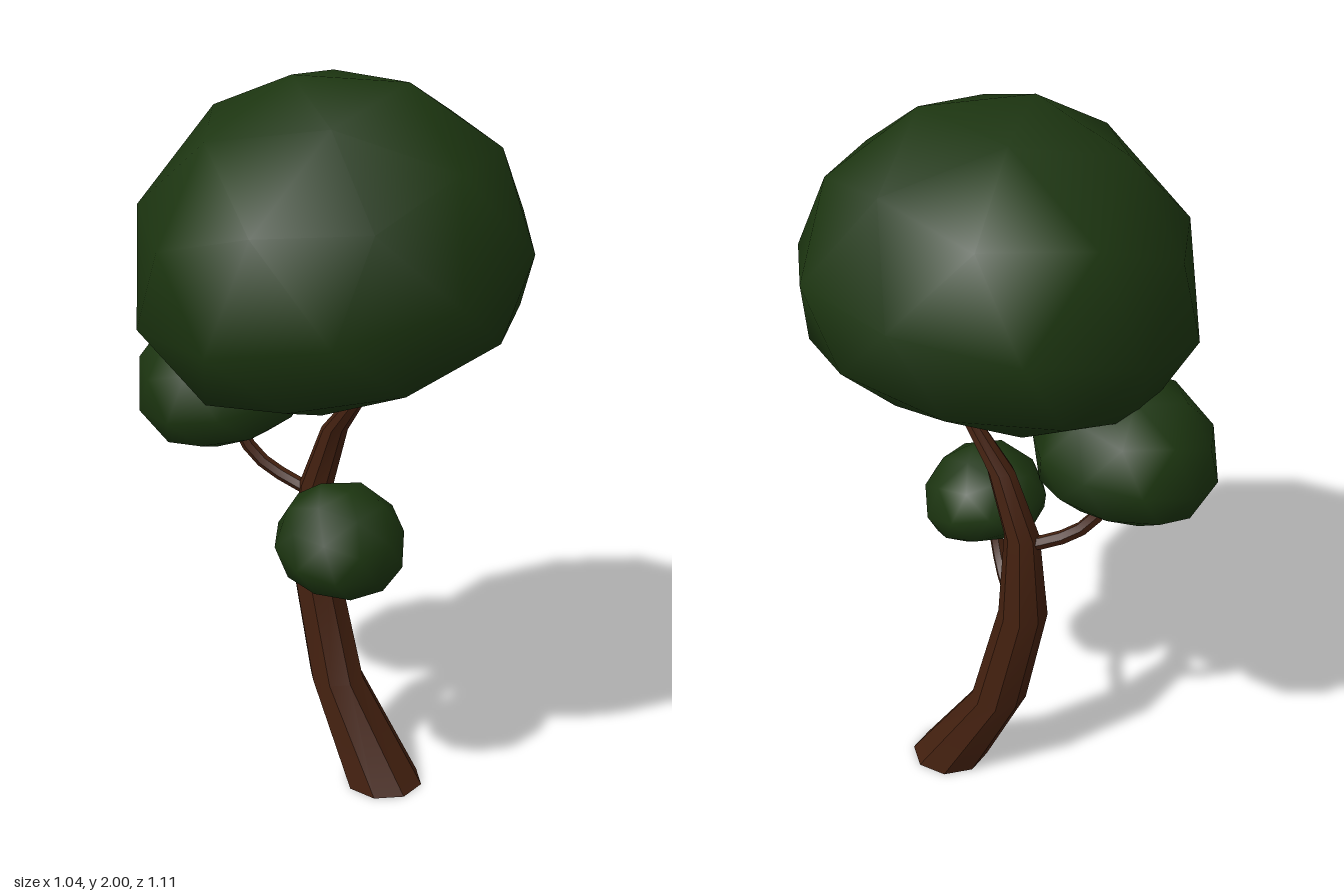
import * as THREE from 'three';
import { mergeVertices, toCreasedNormals } from 'three/addons/utils/BufferGeometryUtils.js';

const bark = new THREE.MeshStandardMaterial({ color: 0x43200f });
const leaf = new THREE.MeshStandardMaterial({ color: 0x1c3510 });

// Low-poly ball standing on a pole, with a flattened underside and smooth normals
function foliageGeometry() {
  let g = new THREE.IcosahedronGeometry(1, 1);
  g.rotateX(-Math.atan((1 + Math.sqrt(5)) / 2));
  g.rotateY(Math.PI);
  const p = g.attributes.position;
  for (let i = 0; i < p.count; i++) {
    const y = p.getY(i);
    if (y < 0) p.setY(i, 0.81 * y + 0.23 * y * y);
    else p.setY(i, 0.97 * y);
  }
  g.deleteAttribute('normal');
  g.deleteAttribute('uv');
  g = mergeVertices(g, 1e-3);
  g.computeVertexNormals();
  return g;
}

// Cylinder whose horizontal rings follow rows of [x, y, z, radius], bottom to top
function trunkGeometry(rows, sides) {
  const n = rows.length - 1;
  const g = new THREE.CylinderGeometry(1, 1, n, sides, n);
  g.rotateY(Math.PI / sides);
  const p = g.attributes.position;
  for (let i = 0; i < p.count; i++) {
    const [x, y, z, r] = rows[Math.round(p.getY(i) + n / 2)];
    p.setXYZ(i, x + p.getX(i) * r, y, z + p.getZ(i) * r);
  }
  return toCreasedNormals(g, 0.6);
}

export function createModel() {
  const tree = new THREE.Group();
  tree.name = 'tree';
  const add = (name, geometry, material) => {
    const mesh = new THREE.Mesh(geometry, material);
    mesh.name = name;
    tree.add(mesh);
    return mesh;
  };

  // Curved, tapering trunk
  add('trunk', trunkGeometry([
    [0.085, 0, 0.172, 0.11],
    [0.085, 0.28, 0.002, 0.077],
    [0.087, 0.6, -0.077, 0.068],
    [0.085, 0.85, -0.072, 0.048],
    [0.08, 1.03, -0.005, 0.037],
    [0.073, 1.15, 0.088, 0.024],
    [0.07, 1.26, 0.092, 0.021],
  ], 8), bark);

  // Side branches curving up into the small crowns
  const branches = {
    backBranch: [[0.085, 0.82, -0.07], [0.07, 0.845, -0.14], [0.04, 0.89, -0.22], [0.015, 0.96, -0.275], [0, 1.05, -0.3]],
    frontBranch: [[0.08, 0.555, -0.05], [0.03, 0.575, -0.01], [-0.02, 0.61, 0.045], [-0.055, 0.67, 0.085], [-0.075, 0.75, 0.11]],
  };
  for (const [name, points] of Object.entries(branches)) {
    const curve = new THREE.CatmullRomCurve3(points.map((q) => new THREE.Vector3(...q)));
    add(name, toCreasedNormals(new THREE.TubeGeometry(curve, 6, 0.019, 6), 0.6), bark);
  }

  // Tilted crowns: name, centre, radius, tilt about x and z
  const ball = foliageGeometry();
  for (const [name, centre, radius, tx, tz] of [
    ['mainCrown', [0, 1.5, 0.053], 0.53, -0.1, 0.21],
    ['backCrown', [-0.01, 1.115, -0.322], 0.245, -0.1, 0.21],
    ['frontCrown', [-0.1, 0.79, 0.152], 0.177, 0.26, 0.09],
  ]) {
    const crown = add(name, ball, leaf);
    crown.position.set(...centre);
    crown.scale.setScalar(radius);
    crown.rotation.set(tx, 0, tz);
  }
  return tree;
}
